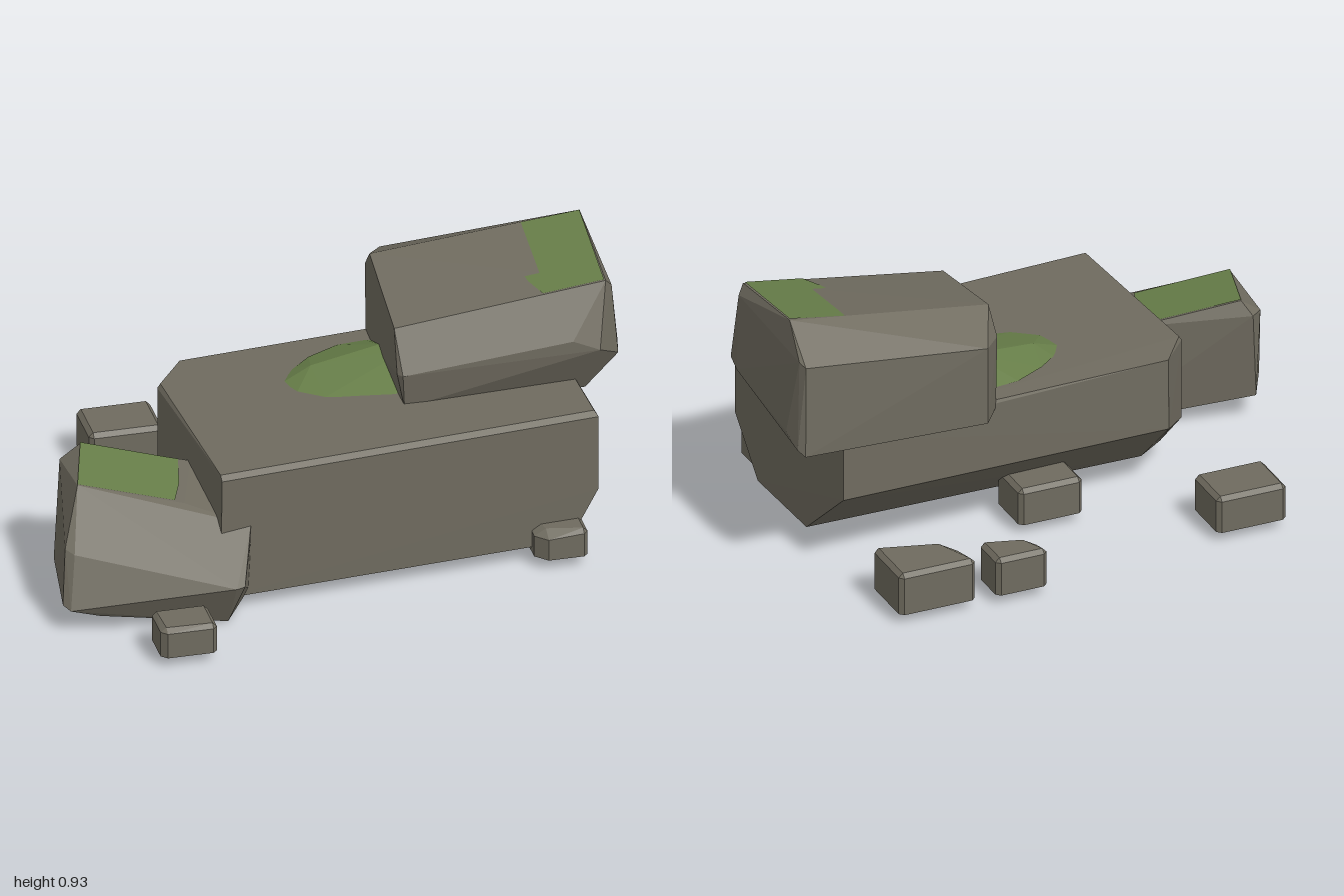
import * as THREE from 'three';
import { ConvexGeometry } from 'three/addons/geometries/ConvexGeometry.js';

const vec = (p) => new THREE.Vector3(...p);

// Faceted stone: hull of its corner points
function hull(points) {
  return new ConvexGeometry(points.map(vec));
}

// Thin moss sheet lying on the plane through three corners of a stone
function mossSheet(corners, outline) {
  const plane = new THREE.Plane().setFromCoplanarPoints(...corners.map(vec));
  const n = plane.normal;
  const pts = outline.map(([x, z]) => [x, -(plane.constant + n.x * x + n.z * z) / n.y + 0.004, z]);
  const pos = [];
  for (let i = 1; i < pts.length - 1; i++) pos.push(...pts[0], ...pts[i], ...pts[i + 1]);
  const g = new THREE.BufferGeometry();
  g.setAttribute('position', new THREE.Float32BufferAttribute(pos, 3));
  g.computeVertexNormals();
  return g;
}

// Bevelled pebble with an open underside; cut trims its front left-hand corner
function pebble(x0, x1, y0, y1, z0, z1, cut) {
  const b = 0.015, pts = [];
  for (const [x, sx] of [[x0, 1], [x1, -1]]) {
    for (const [z, sz] of [[z0, 1], [z1, -1]]) {
      const c = x === x0 && z === z1 ? cut : 0;
      const e = Math.max(b, c);
      pts.push([x, y0, z + sz * e], [x + sx * e, y0, z]);
      pts.push([x, y1 - Math.max(b, c * 0.6), z + sz * e], [x + sx * e, y1 - Math.max(b, c * 0.6), z]);
      pts.push([x + sx * e, y1, z + sz * e]);
    }
  }
  const src = hull(pts).getAttribute('position');
  const out = [];
  const t = new THREE.Triangle(), n = new THREE.Vector3();
  for (let i = 0; i < src.count; i += 3) {
    t.setFromAttributeAndIndices(src, i, i + 1, i + 2);
    if (t.getNormal(n).y < -0.9) continue;
    for (const v of [t.a, t.b, t.c]) out.push(v.x, v.y, v.z);
  }
  const g = new THREE.BufferGeometry();
  g.setAttribute('position', new THREE.Float32BufferAttribute(out, 3));
  g.computeVertexNormals();
  return g;
}

export function createModel() {
  const group = new THREE.Group();
  const stone = new THREE.MeshStandardMaterial({ color: 0x6f6b5f, side: THREE.DoubleSide });
  stone.name = 'stone';
  const moss = new THREE.MeshStandardMaterial({ color: 0x667d48, side: THREE.DoubleSide });
  moss.name = 'moss';
  const add = (name, geometry, material) => {
    const mesh = new THREE.Mesh(geometry, material);
    mesh.name = name;
    group.add(mesh);
  };

  // Long main slab with its lower back edge cut away
  add('mainSlab', hull([
    [-0.46, 0.49, 0.47], [-0.46, 0.505, 0.45], [0.83, 0.525, 0.36], [0.84, 0.51, 0.38],
    [-0.51, 0.49, -0.2], [-0.5, 0.505, -0.2], [-0.4, 0.505, -0.335], [0.8, 0.53, -0.4], [0.81, 0.51, -0.41],
    [-0.465, 0.05, 0.47], [-0.45, 0.04, 0.45], [0.74, 0.06, 0.385], [0.84, 0.24, 0.38],
    [0.84, 0.07, 0.2], [0.82, 0.06, -0.14], [0.81, 0.29, -0.41],
    [-0.4, 0.25, -0.34], [-0.51, 0.2, -0.2], [-0.5, 0.04, -0.05], [-0.4, 0.04, -0.12],
  ]), stone);

  // Tilted block resting on the slab
  add('upperBlock', hull([
    [0.22, 0.77, 0.09], [0.235, 0.84, -0.3], [0.24, 0.76, -0.38], [0.31, 0.77, -0.46],
    [0.215, 0.63, 0.15], [0.23, 0.63, 0.17], [0.24, 0.5, 0.15], [0.24, 0.49, -0.37], [0.31, 0.49, -0.46],
    [0.93, 0.87, 0.12], [0.94, 0.925, -0.27], [0.96, 0.83, -0.39], [0.95, 0.82, -0.42],
    [0.955, 0.84, 0.1], [0.8, 0.7, 0.2], [0.89, 0.66, 0.205],
    [0.97, 0.6, 0.13], [0.86, 0.48, 0.12], [0.98, 0.52, -0.42], [0.99, 0.56, -0.35],
    [0.99, 0.6, 0.04], [0.96, 0.5, -0.44],
  ]), stone);

  // Low block leaning at the slab's end
  add('leaningBlock', hull([
    [-0.9, 0.43, 0.27], [-0.83, 0.45, 0.03], [-0.48, 0.385, 0.12], [-0.56, 0.365, 0.36],
    [-0.86, 0.4, 0.0], [-0.9, 0.4, 0.03], [-0.975, 0.27, 0.4], [-0.95, 0.26, 0.43],
    [-1.0, 0.1, 0.47], [-0.98, 0.09, 0.5], [-0.45, 0.17, 0.63], [-0.42, 0.17, 0.62],
    [-0.46, 0.01, 0.55], [-0.44, 0.0, 0.46], [-0.88, 0.06, 0.5],
    [-0.36, 0.31, 0.46], [-0.37, 0.25, 0.49], [-0.38, 0.32, 0.17], [-0.35, 0.04, 0.4],
    [-0.38, 0.03, 0.15], [-0.88, 0.09, 0.02], [-0.95, 0.1, 0.15],
  ]), stone);

  // Moss
  add('upperMoss', mossSheet([[0.22, 0.77, 0.09], [0.93, 0.87, 0.12], [0.94, 0.925, -0.27]],
    [[0.67, -0.09], [0.69, 0.03], [0.72, 0.11], [0.925, 0.118], [0.938, -0.265], [0.74, -0.277], [0.69, -0.2]]), moss);
  add('leaningMoss', mossSheet([[-0.9, 0.43, 0.27], [-0.83, 0.45, 0.03], [-0.56, 0.365, 0.36]],
    [[-0.9, 0.27], [-0.59, 0.35], [-0.55, 0.25], [-0.52, 0.115], [-0.83, 0.03]]), moss);
  add('slabMoss', hull([
    [-0.11, 0.51, -0.1], [-0.08, 0.515, -0.02], [0.0, 0.515, 0.04], [0.22, 0.515, 0.09], [0.34, 0.515, 0.06],
    [-0.06, 0.515, -0.17], [0.01, 0.52, -0.23], [0.12, 0.52, -0.285], [0.22, 0.52, -0.295], [0.34, 0.52, -0.25],
    [-0.01, 0.55, -0.12], [0.23, 0.58, -0.15], [0.32, 0.58, -0.1],
  ]), moss);

  // Scattered pebbles
  [
    [-0.66, -0.41, 0.035, 0.165, -0.705, -0.51, 0],
    [0.245, 0.43, 0.035, 0.17, -0.795, -0.65, 0.05],
    [0.5, 0.775, 0.035, 0.185, -0.785, -0.565, 0.07],
    [-0.745, -0.555, 0.035, 0.14, 0.64, 0.79, 0.02],
    [0.61, 0.785, 0.04, 0.14, 0.32, 0.465, 0.04],
    [-0.07, 0.16, 0.035, 0.165, -0.385, -0.2, 0],
  ].forEach((p, i) => add(`pebble${i + 1}`, pebble(...p), stone));

  return group;
}
